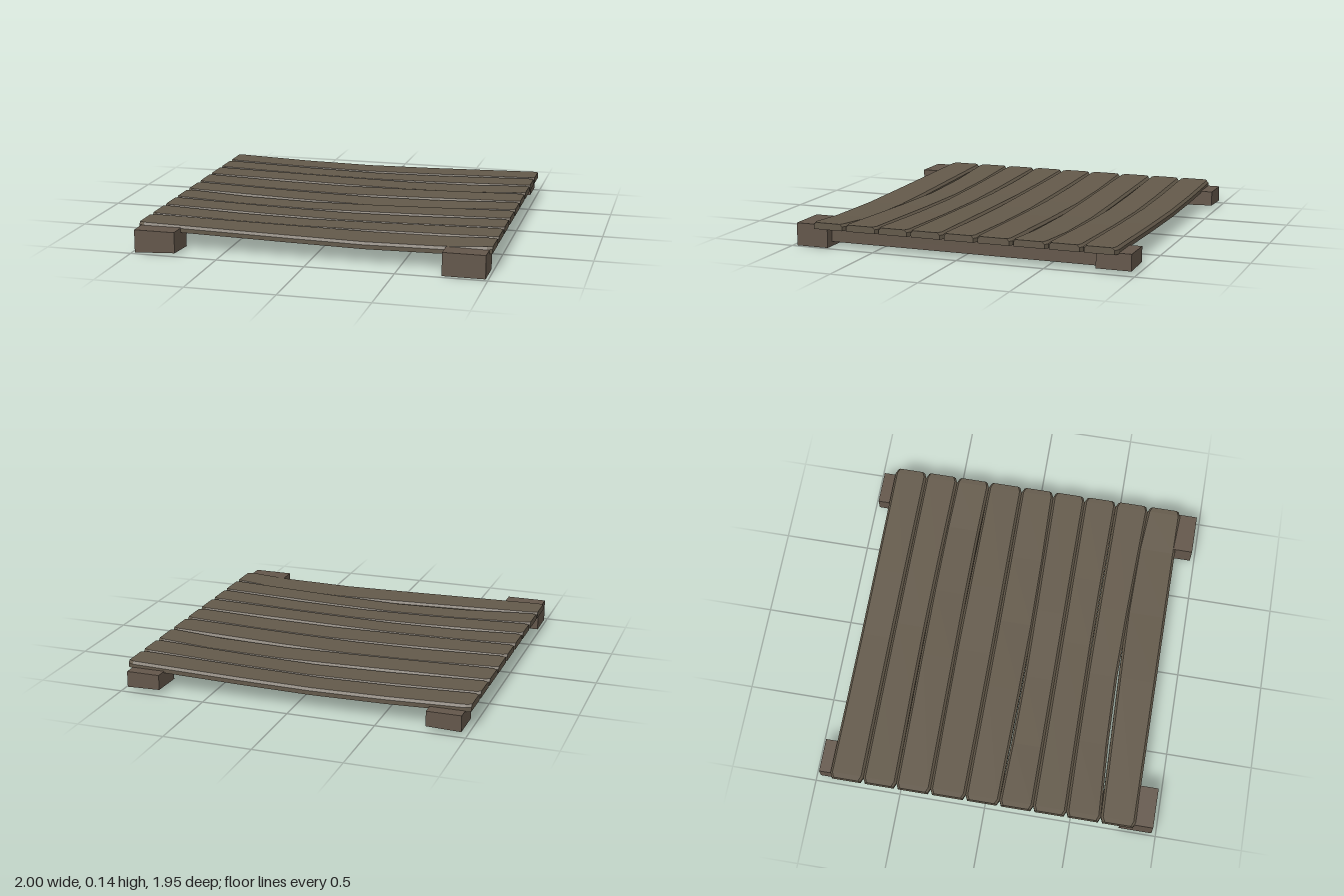
import * as THREE from 'three';

const plankWood = new THREE.MeshStandardMaterial({ color: 0x63594a });
plankWood.name = 'plankWood';
const beamWood = new THREE.MeshStandardMaterial({ color: 0x63564a });
beamWood.name = 'beamWood';

// Loft through cross-section rings (arrays of [x, y, z]), capped at both ends, flat faces
function loft(rings) {
  const pos = [];
  const n = rings[0].length;
  const tri = (a, b, c) => pos.push(...a, ...b, ...c);
  for (let r = 0; r < rings.length - 1; r++) {
    for (let i = 0; i < n; i++) {
      const j = (i + 1) % n;
      const A = rings[r], B = rings[r + 1];
      tri(A[i], B[i], B[j]);
      tri(A[i], B[j], A[j]);
    }
  }
  const first = rings[0], last = rings[rings.length - 1];
  for (let i = 1; i < n - 1; i++) {
    tri(first[0], first[i], first[i + 1]);
    tri(last[0], last[i + 1], last[i]);
  }
  const geo = new THREE.BufferGeometry();
  geo.setAttribute('position', new THREE.Float32BufferAttribute(pos, 3));
  geo.computeVertexNormals();
  return geo;
}

// Sagging board with bevelled top edges and nipped end corners
function plankGeometry(zBack, zFront, kink, sag, backShift, frontShift) {
  const stations = [
    [-1, 0, 0.013], [-0.97, 0.02, 0], [kink - 0.42, 0.72, 0], [kink, 1, 0],
    [kink + 0.42, 0.72, 0], [0.97, 0.02, 0], [1, 0, 0.013],
  ];
  return loft(stations.map(([x, w, nip]) => {
    const b = zBack + nip + backShift * w, f = zFront - nip + frontShift * w;
    const top = 0.145 - sag * w, bottom = 0.107 - sag * w, bevel = 0.013;
    return [
      [x, bottom, b], [x, bottom, f], [x, top - 0.014, f],
      [x, top, f - bevel], [x, top, b + bevel], [x, top - 0.014, b],
    ];
  }));
}

// Block from min/max corners; the lower inner end corner is slightly worn
function blockGeometry(x0, x1, y0, y1, z0, z1, wear = 0) {
  const geo = new THREE.BoxGeometry(x1 - x0, y1 - y0, z1 - z0);
  geo.translate((x0 + x1) / 2, (y0 + y1) / 2, (z0 + z1) / 2);
  const p = geo.attributes.position;
  const outer = Math.abs(z1) > Math.abs(z0) ? z1 : z0;
  for (let i = 0; i < p.count; i++) {
    const low = p.getY(i) < (y0 + y1) / 2;
    const end = Math.abs(p.getZ(i) - outer) < 1e-4;
    const inner = Math.abs(p.getX(i)) < Math.abs(x0 + x1) / 2;
    if (low && end && inner) p.setY(i, y0 + wear);
  }
  const flat = geo.toNonIndexed();
  flat.computeVertexNormals();
  return flat;
}

export function createModel() {
  const model = new THREE.Group();
  model.name = 'plankPlatform';
  const add = (parent, name, geo, mat) => {
    const mesh = new THREE.Mesh(geo, mat);
    mesh.name = name;
    parent.add(mesh);
  };

  // Deck: nine planks from back to front
  const deck = new THREE.Group();
  deck.name = 'deck';
  const seams = [-0.905, -0.712, -0.518, -0.318, -0.113, 0.084, 0.28, 0.473, 0.672, 0.873];
  // Per plank: position of the lowest point, and depth of the sag
  const kinks = [-0.1, 0, 0.25, -0.1, 0.12, -0.2, 0.05, -0.12, 0.3];
  const sags = [0.021, 0.024, 0.023, 0.022, 0.024, 0.022, 0.023, 0.024, 0.022];
  // Sideways wander of each seam
  const drift = [0, -0.006, -0.013, -0.01, 0.002, 0.014, 0, -0.009, -0.03, 0];
  for (let i = 0; i < 9; i++) {
    add(deck, `plank${i + 1}`,
      plankGeometry(seams[i], seams[i + 1], kinks[i], sags[i], drift[i], drift[i + 1]), plankWood);
  }
  model.add(deck);

  // Side beams and the four feet, mirrored left and right
  for (const s of [1, -1]) {
    const side = s > 0 ? 'left' : 'right';
    const span = (a, b) => (s > 0 ? [a, b] : [-b, -a]);
    add(model, `${side}Beam`, blockGeometry(...span(0.81, 0.93), 0.025, 0.11, -0.79, 0.79), beamWood);
    add(model, `${side}FrontFoot`, blockGeometry(...span(0.75, 0.985), 0, 0.13, 0.785, 0.975, s < 0 ? 0.012 : 0), beamWood);
    add(model, `${side}BackFoot`, blockGeometry(...span(0.775, 0.97), 0.02, 0.112, -0.975, -0.78, 0.006), beamWood);
  }
  return model;
}
